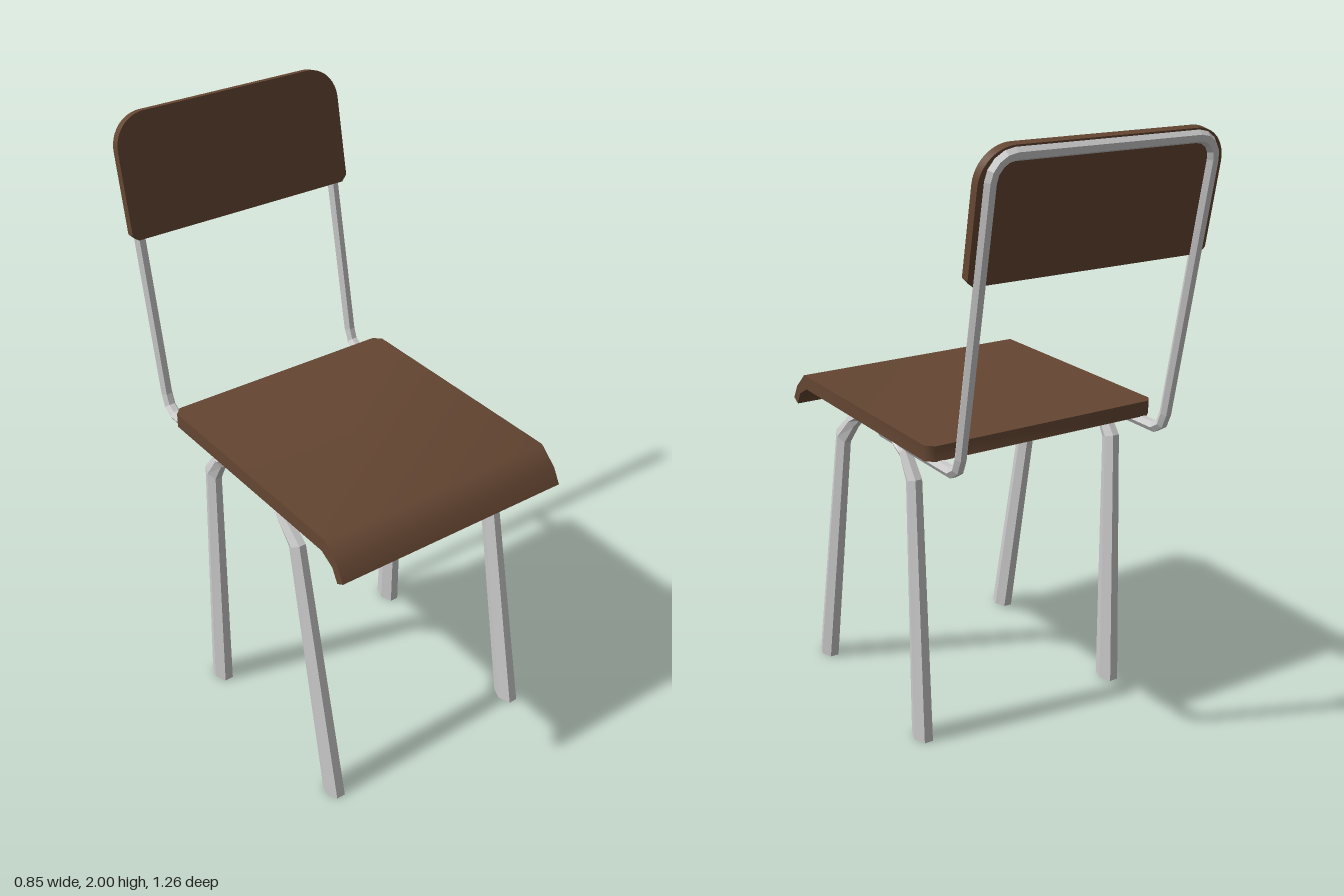
import * as THREE from 'three';
import { toCreasedNormals } from 'three/addons/utils/BufferGeometryUtils.js';

const HEX = [[1, 0], [0.5, 1], [-0.5, 1], [-1, 0], [-0.5, -1], [0.5, -1]];
const RECT = [[1, 1], [-1, 1], [-1, -1], [1, -1]];

// Sweeps a section along stations [x, y, z, halfWidth, halfThickness]
function loft(path, section) {
  const pos = [], idx = [], n = section.length;
  const pts = path.map(p => new THREE.Vector3(p[0], p[1], p[2]));
  const u = new THREE.Vector3(1, 0, 0);
  pts.forEach((p, i) => {
    const t = new THREE.Vector3();
    if (i > 0) t.add(p.clone().sub(pts[i - 1]).normalize());
    if (i < pts.length - 1) t.add(pts[i + 1].clone().sub(p).normalize());
    t.normalize();
    u.addScaledVector(t, -u.dot(t)).normalize();
    const v = t.clone().cross(u);
    for (const [a, b] of section) {
      const q = p.clone().addScaledVector(u, a * path[i][3]).addScaledVector(v, b * path[i][4]);
      pos.push(q.x, q.y < 0.02 ? 0 : q.y, q.z); // feet are cut flat on the floor
    }
  });
  const last = (pts.length - 1) * n;
  for (let i = 0; i < last; i += n) {
    for (let j = 0; j < n; j++) {
      const k = (j + 1) % n;
      idx.push(i + j, i + k, i + n + k, i + j, i + n + k, i + n + j);
    }
  }
  for (let j = 1; j < n - 1; j++) idx.push(0, j + 1, j, last, last + j, last + j + 1);
  const g = new THREE.BufferGeometry();
  g.setAttribute('position', new THREE.Float32BufferAttribute(pos, 3));
  g.setIndex(idx);
  g.computeVertexNormals();
  return g;
}

export function createModel() {
  const chair = new THREE.Group();
  chair.name = 'chair';
  const metal = new THREE.MeshStandardMaterial({ color: 0xcccccc, flatShading: true });
  const wood = new THREE.MeshStandardMaterial({ color: 0x654632 });
  const add = (name, geometry, material) => {
    const mesh = new THREE.Mesh(geometry, material);
    mesh.name = name;
    chair.add(mesh);
    return mesh;
  };

  // Seat board with clipped rear corners and a lip rolled down at the front
  add('seat', toCreasedNormals(loft([
    [0, 1.05, -0.32, 0.4, 0.025],
    [0, 1.05, -0.295, 0.425, 0.025],
    [0, 1.05, 0.53, 0.425, 0.025],
    [0, 1.008, 0.588, 0.425, 0.016],
    [0, 0.961, 0.614, 0.425, 0.016],
  ], RECT), 0.9), wood);

  // Each side: one tube bent into front leg, top rail and rear leg
  for (const [name, s] of [['leftLegs', 1], ['rightLegs', -1]]) {
    add(name, loft([
      [0.38, 0, 0.52, 0.031, 0.042],
      [0.382, 0.908, 0.333, 0.024, 0.033],
      [0.382, 0.985, 0.25, 0.022, 0.022],
      [0.382, 1.015, 0.195, 0.022, 0.012],
      [0.382, 1.015, -0.035, 0.022, 0.012],
      [0.382, 0.985, -0.1, 0.022, 0.024],
      [0.382, 0.908, -0.152, 0.024, 0.032],
      [0.38, 0, -0.172, 0.031, 0.043],
    ].map(([x, ...rest]) => [s * x, ...rest]), HEX), metal);
  }

  // Back frame: runs back under the seat, up, and across behind the backrest
  const lean = y => -0.435 - (y - 1.07) * 0.195;
  const half = [[0.05, 1.01], [-0.385, 1.01], [-0.418, 1.03], [-0.435, 1.07]]
    .map(([z, y]) => [0.382, y, z]);
  for (let i = 0; i <= 4; i++) {
    const a = i * Math.PI / 8, y = 1.9 + 0.07 * Math.sin(a);
    half.push([0.312 + 0.07 * Math.cos(a), y, lean(y)]);
  }
  const mirrored = half.map(([x, y, z]) => [-x, y, z]).reverse();
  add('backFrame', loft([...half, ...mirrored].map(p => [...p, 0.02, 0.017]), HEX), metal);

  // Backrest panel, round at the top corners and clipped at the bottom ones
  const w = 0.42, h = 0.397, r = 0.11, c = 0.02;
  const outline = new THREE.Shape();
  outline.moveTo(-w + c, 0);
  outline.lineTo(w - c, 0);
  outline.lineTo(w, c);
  outline.lineTo(w, h - r);
  outline.absarc(w - r, h - r, r, 0, Math.PI / 2);
  outline.lineTo(-w + r, h);
  outline.absarc(-w + r, h - r, r, Math.PI / 2, Math.PI);
  outline.lineTo(-w, c);
  outline.closePath();
  const panel = new THREE.ExtrudeGeometry(outline, { depth: 0.03, bevelEnabled: false, curveSegments: 6 });
  const backrest = add('backrest', toCreasedNormals(panel, 0.6), wood);
  backrest.position.set(0, 1.605, -0.537);
  backrest.rotation.x = -0.193;

  return chair;
}
